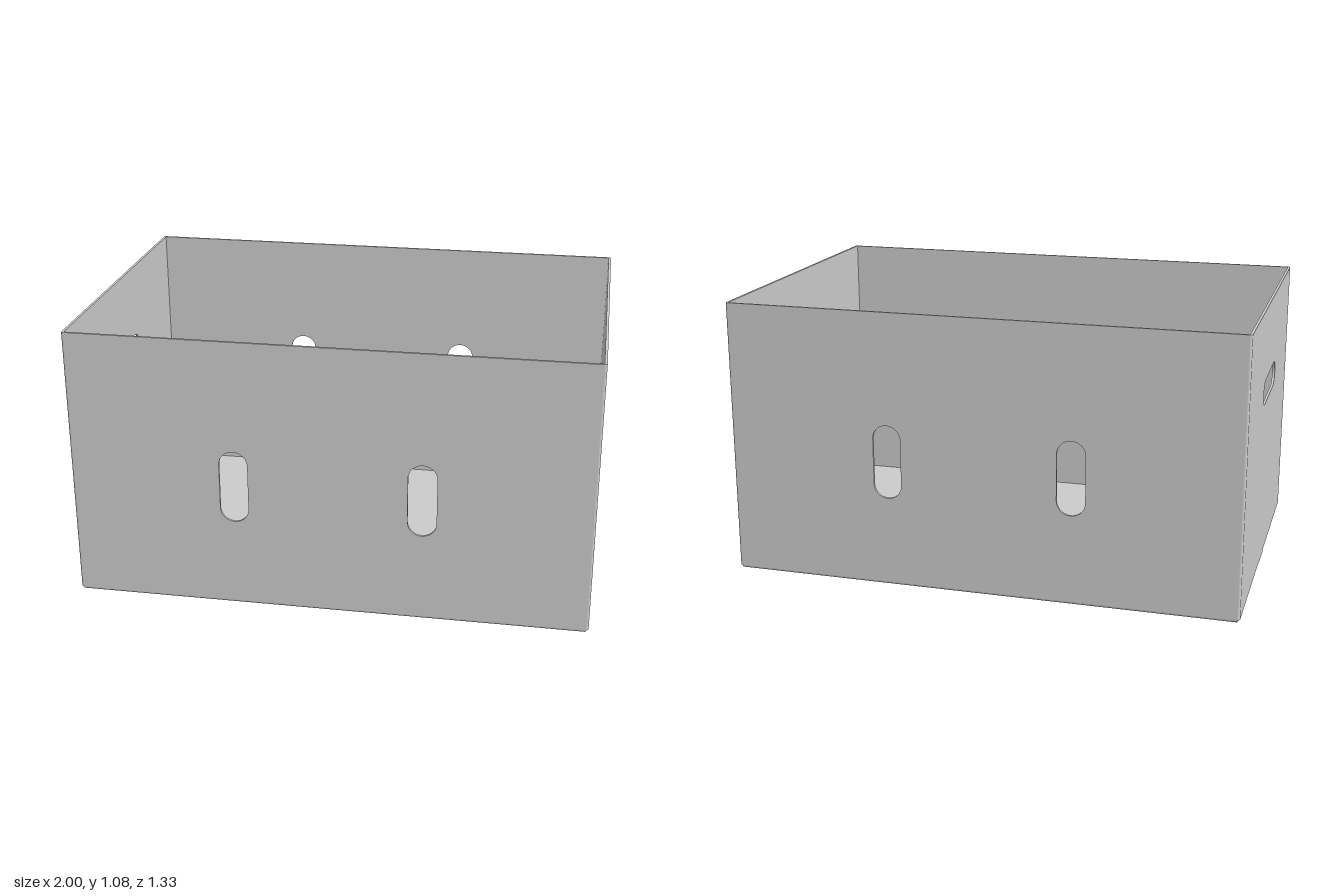
import * as THREE from 'three';

const X = 1, Z = 0.663, H = 1.083, T = 0.01, BASE = 0.012;
const material = new THREE.MeshStandardMaterial({ color: 0xcccccc });

function add(parent, name, geometry, x = 0, y = 0, z = 0) {
  const mesh = new THREE.Mesh(geometry, material);
  mesh.name = name;
  mesh.position.set(x, y, z);
  parent.add(mesh);
  return mesh;
}

// Stadium-shaped hole, w by h, centred on (x, y)
function slot(x, y, w, h) {
  const p = new THREE.Path();
  const r = Math.min(w, h) / 2, dx = w / 2 - r, dy = h / 2 - r;
  if (w > h) {
    p.absarc(x + dx, y, r, -Math.PI / 2, Math.PI / 2, false);
    p.absarc(x - dx, y, r, Math.PI / 2, Math.PI * 1.5, false);
  } else {
    p.absarc(x, y + dy, r, 0, Math.PI, false);
    p.absarc(x, y - dy, r, Math.PI, Math.PI * 2, false);
  }
  p.closePath();
  return p;
}

// Upright cardboard panel facing +z, with its slots cut through
function panel(halfWidth, holes) {
  const s = new THREE.Shape();
  s.moveTo(-halfWidth, BASE);
  s.lineTo(halfWidth, BASE);
  s.lineTo(halfWidth, H);
  s.lineTo(-halfWidth, H);
  s.closePath();
  s.holes.push(...holes);
  return new THREE.ExtrudeGeometry(s, { depth: T, bevelEnabled: false, curveSegments: 16 });
}

export function createModel() {
  const group = new THREE.Group();
  group.name = 'openBox';
  const ix = X - T, iz = Z - T;

  // Front and back walls with upright slots
  const longWall = panel(ix, [-0.36, 0.36].map(x => slot(x, 0.5, 0.11, 0.29)));
  add(group, 'frontWall', longWall, 0, 0, iz);
  add(group, 'backWall', longWall, 0, 0, -iz).rotation.y = Math.PI;

  // End walls with hand holes
  const endWall = panel(iz, [slot(0, 0.74, 0.39, 0.1)]);
  add(group, 'leftWall', endWall, ix, 0, 0).rotation.y = Math.PI / 2;
  add(group, 'rightWall', endWall, -ix, 0, 0).rotation.y = -Math.PI / 2;

  // Rounded upright corner folds
  const fold = new THREE.CylinderGeometry(T, T, H - BASE, 6, 1, false, 0, Math.PI / 2);
  [[1, 1], [1, -1], [-1, -1], [-1, 1]].forEach(([sx, sz], i) => {
    add(group, 'cornerFold', fold, sx * ix, (H + BASE) / 2, sz * iz).rotation.y = i * Math.PI / 2;
  });

  // Inner end flaps
  for (const s of [-1, 1]) {
    add(group, 'endFlap', new THREE.BoxGeometry(ix, 0.006, 2 * iz), s * ix / 2, 0.0095, 0);
  }

  // Outer flaps meeting along the middle, with their rounded folds
  const bottomFold = new THREE.CylinderGeometry(BASE, BASE, 2 * ix, 6, 1, false, 0, Math.PI / 2);
  bottomFold.rotateZ(Math.PI / 2);
  for (const s of [-1, 1]) {
    add(group, 'bottomFlap', new THREE.BoxGeometry(2 * ix, 0.0065, iz), 0, 0.00325, s * iz / 2);
    const f = add(group, 'bottomFold', bottomFold, 0, BASE, s * (Z - BASE));
    f.rotation.x = s > 0 ? Math.PI / 2 : Math.PI;
    // Small locking tab under each end wall
    add(group, 'lockingTab', new THREE.BoxGeometry(T, 0.008, 0.11), s * (X - T / 2), 0.008, 0);
  }
  return group;
}
